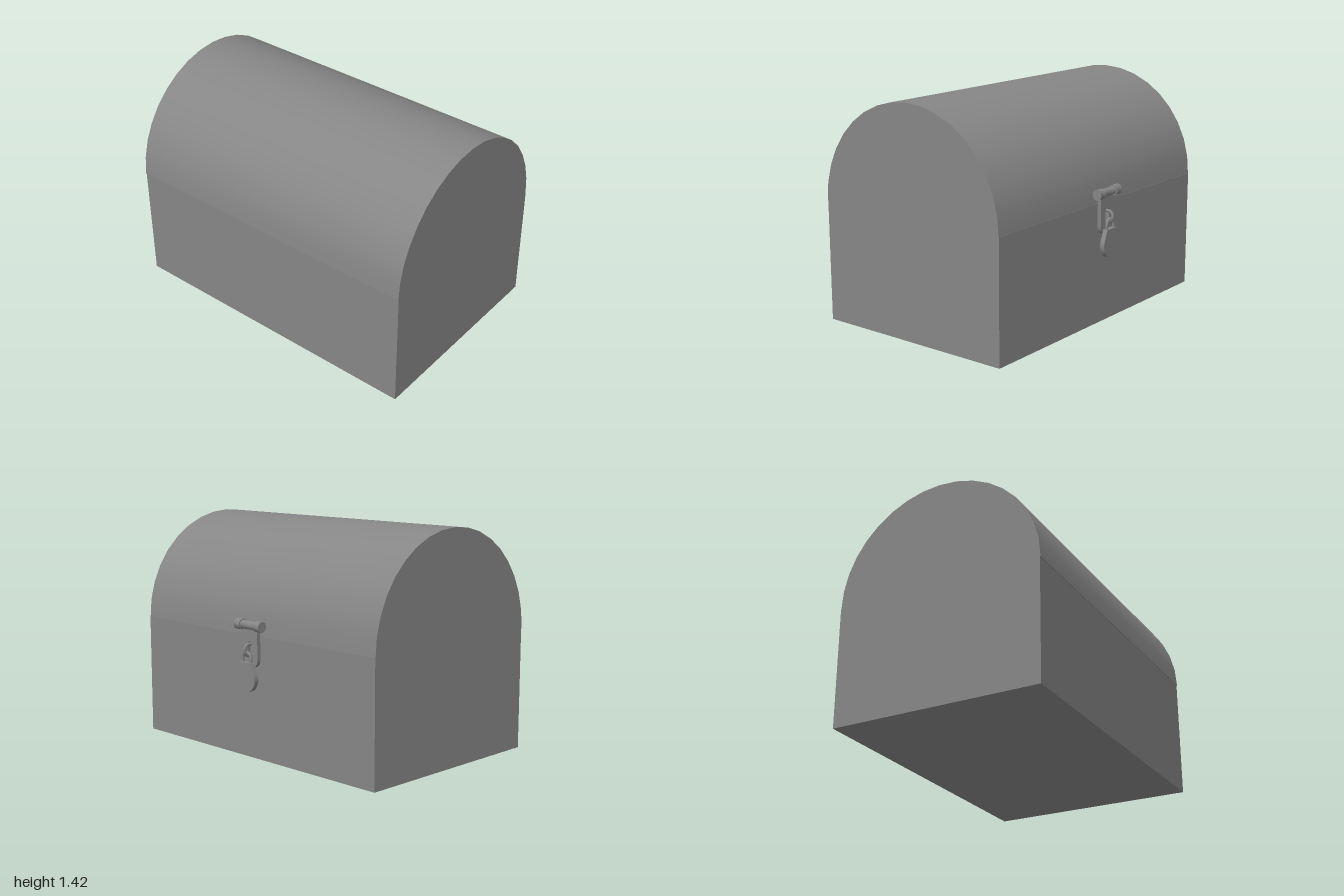
import * as THREE from 'three';
import { toCreasedNormals } from 'three/addons/utils/BufferGeometryUtils.js';

const mat = new THREE.MeshStandardMaterial({ color: 0x868686 });

function add(parent, name, geometry, x = 0, y = 0, z = 0) {
  const mesh = new THREE.Mesh(geometry, mat);
  mesh.name = name;
  mesh.position.set(x, y, z);
  parent.add(mesh);
  return mesh;
}

function extrude(shape, depth, curveSegments) {
  const g = new THREE.ExtrudeGeometry(shape, { depth, curveSegments, bevelEnabled: false });
  g.translate(0, 0, -depth / 2);
  return toCreasedNormals(g, 0.6);
}

export function createModel() {
  const model = new THREE.Group();
  model.name = 'chest';
  const seamY = 0.757, length = 2;

  // Chest box
  add(model, 'box', new THREE.BoxGeometry(length, seamY, 1.33), 0, seamY / 2, 0.035);

  // Half-round lid of 18 facets, overhanging the front slightly
  const arch = new THREE.Shape();
  arch.absarc(0, 0, 0.666, 0, Math.PI, false);
  arch.closePath();
  const lid = add(model, 'lid', extrude(arch, length, 9), 0, seamY, 0.038);
  lid.rotation.y = Math.PI / 2;

  // Hasp and padlock on the back
  const clasp = new THREE.Group();
  clasp.name = 'clasp';
  clasp.position.x = -0.006;
  model.add(clasp);

  // Hinge barrel: a slimmer middle between two knuckles
  const barrel = (name, r, len, x) => {
    const g = toCreasedNormals(new THREE.CylinderGeometry(r, r, len, 8), 0.9);
    add(clasp, name, g, x, 0.82, -0.653).rotation.z = Math.PI / 2;
  };
  barrel('hingeMiddle', 0.027, 0.15, 0);
  for (const side of [-1, 1]) barrel('hingeKnuckle', 0.034, 0.05, side * 0.085);

  // Hasp plate with rounded lower corners and a slot for the staple
  const w = 0.068, r = 0.05, top = 0.82, low = 0.565;
  const plate = new THREE.Shape();
  plate.moveTo(w, top);
  plate.lineTo(-w, top);
  plate.lineTo(-w, low + r);
  plate.absarc(-w + r, low + r, r, Math.PI, Math.PI * 1.5, false);
  plate.absarc(w - r, low + r, r, Math.PI * 1.5, Math.PI * 2, false);
  plate.closePath();
  const slot = new THREE.Path();
  slot.absarc(0, 0.705, 0.018, 0, Math.PI, false);
  slot.absarc(0, 0.635, 0.018, Math.PI, Math.PI * 2, false);
  slot.closePath();
  plate.holes.push(slot);
  add(clasp, 'haspPlate', extrude(plate, 0.024, 8), 0, 0, -0.643);

  // Staple: a U-shaped loop standing out from the plate
  const staplePath = new THREE.CurvePath();
  const v = (y, z) => new THREE.Vector3(0, y, z);
  const bend = [];
  for (let i = 0; i <= 12; i++) {
    const a = Math.PI / 2 - (i / 12) * Math.PI;
    bend.push(v(0.672 + 0.035 * Math.sin(a), -0.661 - 0.034 * Math.cos(a)));
  }
  staplePath.add(new THREE.LineCurve3(v(0.707, -0.625), bend[0]));
  staplePath.add(new THREE.CatmullRomCurve3(bend));
  staplePath.add(new THREE.LineCurve3(bend[12], v(0.637, -0.625)));
  add(clasp, 'staple', new THREE.TubeGeometry(staplePath, 28, 0.01, 8));

  // Padlock body: round below, narrowing to a flat top
  const body = new THREE.Shape();
  body.moveTo(0.05, 0.6);
  body.lineTo(-0.05, 0.6);
  body.absarc(0, 0.503, 0.084, Math.PI * 0.87, Math.PI * 2.13, false);
  body.closePath();
  add(clasp, 'padlockBody', extrude(body, 0.03, 24), 0, 0, -0.678);

  // Padlock shackle
  const shackle = new THREE.CatmullRomCurve3([
    [-0.036, 0.59], [-0.036, 0.625], [-0.026, 0.648], [0, 0.659],
    [0.026, 0.648], [0.036, 0.625], [0.036, 0.59],
  ].map(([x, y]) => new THREE.Vector3(x, y, -0.677)));
  add(clasp, 'padlockShackle', new THREE.TubeGeometry(shackle, 24, 0.009, 8));

  return model;
}
